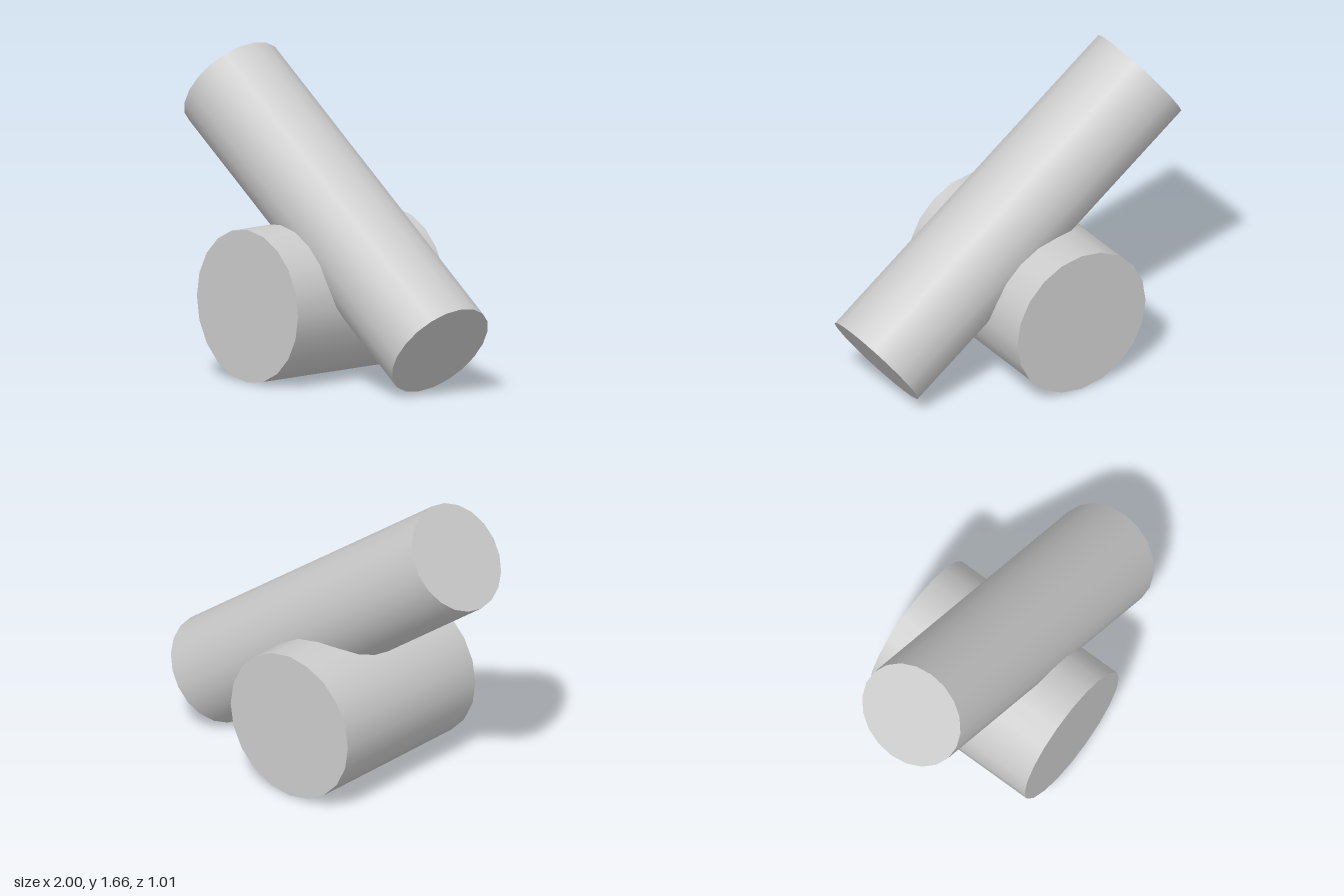
import * as THREE from 'three';

const material = new THREE.MeshStandardMaterial({ color: 0xcccccc });

// Closed 20-sided cylinder with smooth sides and flat ends
function cylinder(name, radius, length) {
  const mesh = new THREE.Mesh(new THREE.CylinderGeometry(radius, radius, length, 20), material);
  mesh.name = name;
  return mesh;
}

export function createModel() {
  const group = new THREE.Group();
  group.name = 'crossedCylinders';

  // Thick cylinder lying front to back
  const base = cylinder('baseCylinder', 0.403, 1.014);
  base.rotation.x = Math.PI / 2;
  base.position.set(-0.117, 0.405, 0);

  // Long slim cylinder leaning across it, high end on the model's right
  const beam = cylinder('leaningCylinder', 0.295, 2.036);
  beam.rotation.z = THREE.MathUtils.degToRad(90 - 35.55);
  beam.position.set(0, 0.833, 0);

  group.add(base, beam);
  return group;
}
